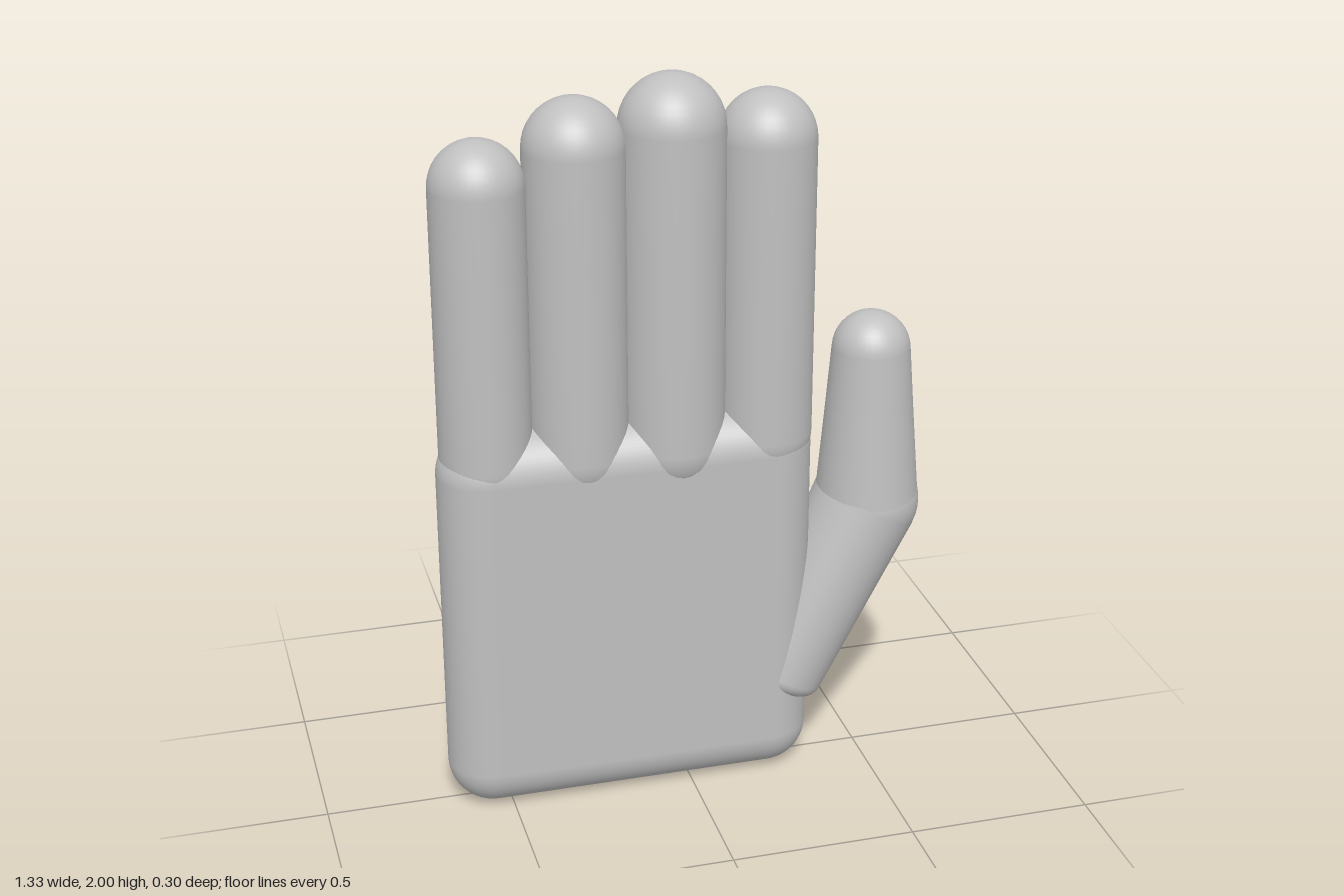
import * as THREE from 'three';
import { RoundedBoxGeometry } from 'three/addons/geometries/RoundedBoxGeometry.js';

const Z = 0.008; // middle plane of palm and fingers

export function createModel() {
  const hand = new THREE.Group();
  hand.name = 'hand';
  const grey = new THREE.MeshStandardMaterial({ color: 0xc0c0c0 });
  grey.name = 'grey';

  const add = (parent, name, geometry, x = 0, y = 0, z = 0) => {
    const mesh = new THREE.Mesh(geometry, grey);
    mesh.name = name;
    mesh.position.set(x, y, z);
    parent.add(mesh);
    return mesh;
  };
  const lathe = (points) => new THREE.LatheGeometry(points, 40);

  // Profile points of a quarter circle around (cx, cy), from angle a to b
  const arc = (cx, cy, r, a, b, n = 10) => Array.from({ length: n + 1 }, (_, i) => {
    const t = a + (b - a) * i / n;
    return new THREE.Vector2(Math.max(0, cx + r * Math.cos(t)), cy + r * Math.sin(t));
  });
  const Q = Math.PI / 2;

  // Palm: slab with fully rounded edges
  add(hand, 'palm', new RoundedBoxGeometry(1.008, 1.095, 0.245, 8, 0.122), -0.16, 0.5475, Z);

  // Fingers: three phalanges each, round at both ends
  const fingers = [
    ['littleFinger', -0.532, 0.122, 1.868],
    ['ringFinger', -0.285, 0.131, 1.957],
    ['middleFinger', -0.032, 0.138, 2.0],
    ['indexFinger', 0.219, 0.127, 1.94],
  ];
  for (const [name, x, r, top] of fingers) {
    const finger = new THREE.Group();
    finger.name = name;
    finger.position.set(x, 0, Z);
    hand.add(finger);
    const base = 1.01, tip = top - r;
    const k1 = base + (tip - base) * 0.3, k2 = base + (tip - base) * 0.68;
    const v = (y) => new THREE.Vector2(r, y);
    add(finger, 'lowerPhalanx', lathe([...arc(0, base, r, -Q, 0), v(k1)]));
    add(finger, 'middlePhalanx', lathe([v(k1), v(k2)]));
    add(finger, 'fingertip', lathe([v(k2), ...arc(0, tip, r, 0, Q)]));
  }

  // Thumb: slanted root, ball joint and two tapering phalanges
  const thumb = new THREE.Group();
  thumb.name = 'thumb';
  hand.add(thumb);

  const root = new THREE.Vector3(0.255, 0.24, 0.014);
  const joint = new THREE.Vector3(0.518, 0.76, -0.005);
  const axis = joint.clone().sub(root);
  const rootMesh = add(thumb, 'thumbRoot', lathe([
    new THREE.Vector2(0, 0),
    ...arc(0.085, 0.04, 0.04, -Q, 0, 6),
    new THREE.Vector2(0.145, axis.length()),
  ]), root.x, root.y, root.z);
  rootMesh.quaternion.setFromUnitVectors(new THREE.Vector3(0, 1, 0), axis.normalize());

  add(thumb, 'thumbJoint', new THREE.SphereGeometry(0.144, 40, 24), joint.x, joint.y, joint.z);
  add(thumb, 'thumbPhalanx', lathe([
    new THREE.Vector2(0.141, 0.76), new THREE.Vector2(0.118, 1.04),
  ]), 0.518, 0, -0.002);
  add(thumb, 'thumbTip', lathe([
    new THREE.Vector2(0.118, 1.04), ...arc(0, 1.202, 0.105, 0.05, Q),
  ]), 0.518, 0, -0.002);

  return hand;
}
